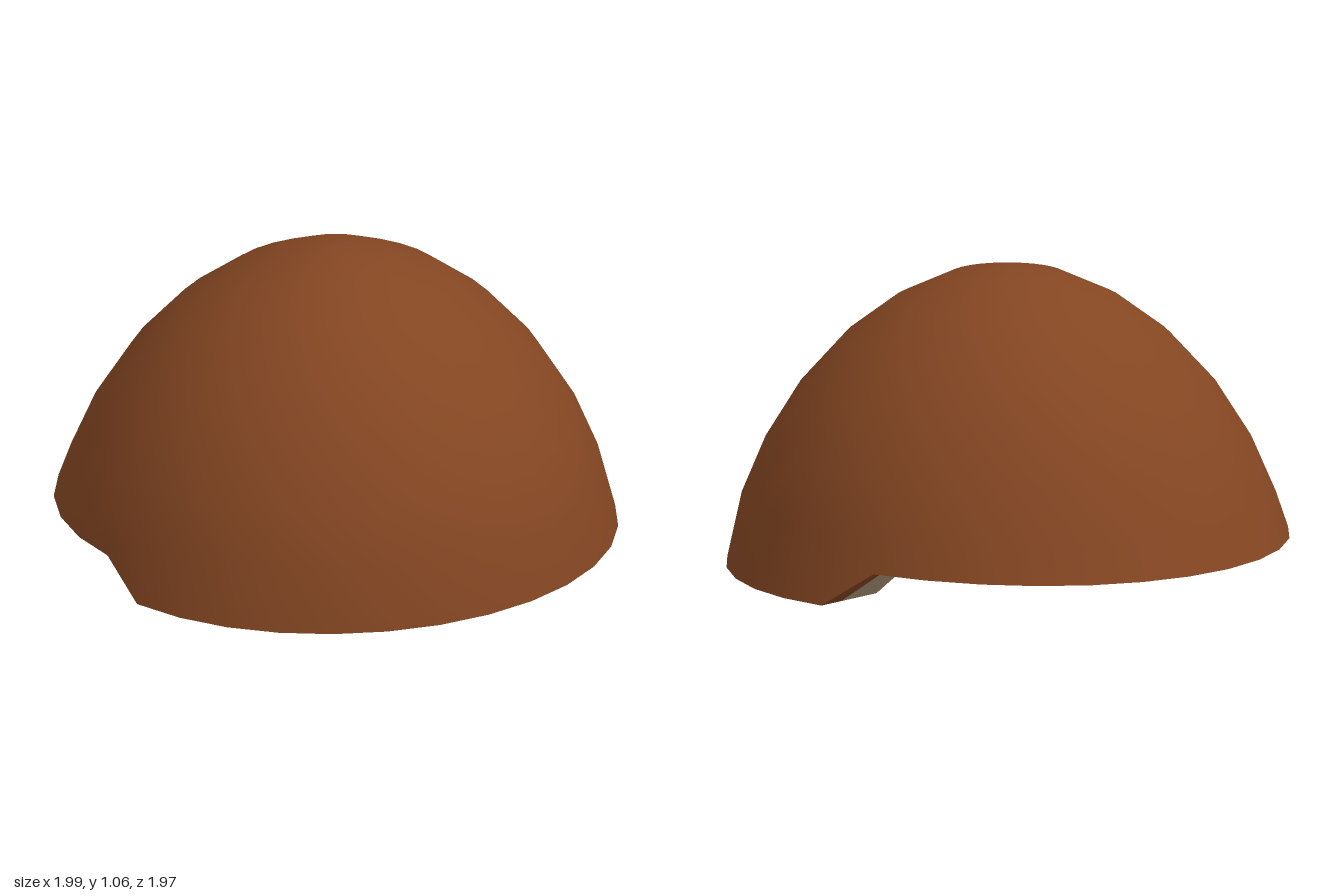
import * as THREE from 'three';
import { mergeVertices } from 'three/addons/utils/BufferGeometryUtils.js';

const SEGMENTS = 32;

// Dome profile above the rim, as [radius, height]
const PROFILE = [[0.935, 0.24], [0.85, 0.44], [0.725, 0.64], [0.57, 0.81], [0.395, 0.94], [0.2, 1.03], [0, 1.06]];

// Hollow profile: the dome shrunk about the middle of the whole nut, which lies below the cut
const MIDDLE = -0.23, SHRINK = 0.72, SHRINK_HEIGHT = 0.69;
const HOLLOW = PROFILE.slice(1).map(([r, y]) => [r * SHRINK, MIDDLE + (y - MIDDLE) * SHRINK_HEIGHT]);

// Height of the broken edge: low at the front, stepped up at the back
function rimHeight(a) {
  const s = Math.sin(a), c = Math.cos(a);
  return c > -0.01 ? 0.01 - 0.008 * s + 0.01 * c * c * c : 0.135 + 0.03 * c;
}

// Point on the rim, at a fraction of the full radius
function rimPoint(a, fraction) {
  const y = rimHeight(a);
  const r = (1 - 0.27 * y - 0.015 * Math.cos(a)) * fraction;
  const shift = 0.03 * Math.sin(a) ** 8 * fraction;
  return [r * Math.sin(a), y, r * Math.cos(a) + shift];
}

// Point on a dome; the crown leans very slightly forward
function domePoint(a, [r, y]) {
  return [r * Math.sin(a) - 0.004, y, r * Math.cos(a) + 0.01 * y];
}

// Closed skin of upright columns; rows(a) lists the points of one column
function surface(rows, smooth) {
  const pos = [], index = [];
  let n = 0;
  for (let i = 0; i < SEGMENTS; i++) {
    const column = rows((i / SEGMENTS) * Math.PI * 2);
    n = column.length;
    column.forEach((p) => pos.push(...p));
  }
  for (let i = 0; i < SEGMENTS; i++) {
    const k = (i + 1) % SEGMENTS;
    for (let j = 0; j < n - 1; j++) {
      const a = i * n + j, b = k * n + j;
      index.push(a, b, b + 1, a, b + 1, a + 1);
    }
  }
  let geo = new THREE.BufferGeometry();
  geo.setAttribute('position', new THREE.Float32BufferAttribute(pos, 3));
  geo.setIndex(index);
  geo = smooth ? mergeVertices(geo) : geo.toNonIndexed();
  geo.computeVertexNormals();
  return geo;
}

export function createModel() {
  const group = new THREE.Group();
  const husk = new THREE.MeshStandardMaterial({ color: 0x844622 });
  husk.name = 'husk brown';
  const flesh = new THREE.MeshStandardMaterial({ color: 0xb09879 });
  flesh.name = 'flesh cream';

  const add = (name, geo, mat) => {
    const mesh = new THREE.Mesh(geo, mat);
    mesh.name = name;
    group.add(mesh);
  };

  // Outer shell, from the rim up to the crown
  add('outerShell', surface((a) => [rimPoint(a, 1), ...PROFILE.map((p) => domePoint(a, p))], true), husk);

  // Broken edge: brown outer band and pale inner band
  add('shellEdge', surface((a) => [rimPoint(a, 0.895), rimPoint(a, 1)], false), husk);
  add('fleshEdge', surface((a) => [rimPoint(a, 0.705), rimPoint(a, 0.895)], false), flesh);

  // Hollow inside, from the crown down to the rim
  add('innerHollow', surface((a) => [
    ...HOLLOW.map((p) => domePoint(a, p)).reverse(), rimPoint(a, 0.705),
  ], true), flesh);

  return group;
}
